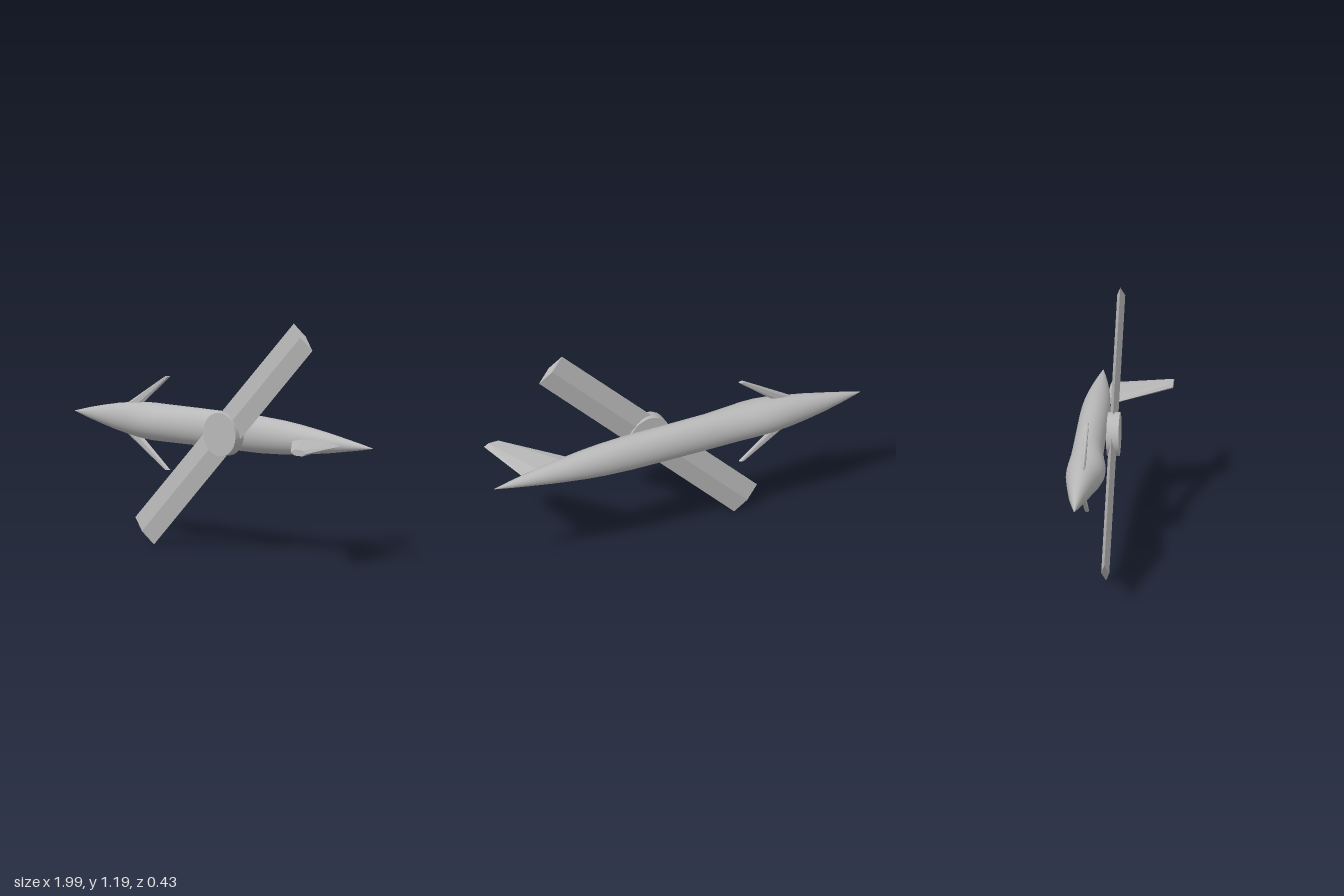
import * as THREE from 'three';
import { ConvexGeometry } from 'three/addons/geometries/ConvexGeometry.js';

const AXIS_Y = 0.598;

// Fuselage skin lofted from elliptical rings: [x, zBack, zFront, halfHeight]
function fuselageGeometry() {
  const stations = [
    [-1, -0.14, -0.138, 0.001], [-0.9, -0.161, -0.118, 0.027], [-0.8, -0.18, -0.099, 0.049],
    [-0.7, -0.194, -0.079, 0.068], [-0.6, -0.207, -0.059, 0.082], [-0.52, -0.216, -0.038, 0.09],
    [-0.45, -0.218, -0.028, 0.0925], [-0.38, -0.216, -0.029, 0.0925], [-0.28, -0.211, -0.044, 0.0925],
    [-0.18, -0.21, -0.056, 0.0925], [0, -0.21, -0.06, 0.0925], [0.25, -0.21, -0.06, 0.0915],
    [0.4, -0.208, -0.064, 0.084], [0.5, -0.203, -0.07, 0.075], [0.6, -0.195, -0.079, 0.063],
    [0.7, -0.184, -0.091, 0.05], [0.8, -0.172, -0.106, 0.034], [0.9, -0.158, -0.123, 0.018],
    [0.992, -0.144, -0.142, 0.001],
  ];
  const sides = 40, pos = [], index = [];
  stations.forEach(([x, z0, z1, h], i) => {
    for (let j = 0; j < sides; j++) {
      const a = (j / sides) * Math.PI * 2;
      pos.push(x, AXIS_Y + Math.cos(a) * h, (z0 + z1) / 2 + (Math.sin(a) * (z1 - z0)) / 2);
      if (i === stations.length - 1) continue;
      const p = i * sides + j, q = i * sides + ((j + 1) % sides);
      index.push(p, q, p + sides, q, q + sides, p + sides);
    }
  });
  const g = new THREE.BufferGeometry();
  g.setAttribute('position', new THREE.Float32BufferAttribute(pos, 3));
  g.setIndex(index);
  g.computeVertexNormals();
  return g;
}

// Tapered fin with a six-sided section; ends are [leadingX, trailingX, span]
function finGeometry(root, tip, halfThick) {
  const pts = [];
  for (const [x0, x1, y] of [root, tip]) {
    pts.push(new THREE.Vector3(x0, y, 0), new THREE.Vector3(x1, y, 0));
    for (const f of [0.25, 0.75]) for (const s of [-1, 1])
      pts.push(new THREE.Vector3(x0 + (x1 - x0) * f, y, s * halfThick));
  }
  return new ConvexGeometry(pts);
}

export function createModel() {
  const model = new THREE.Group();
  const grey = new THREE.MeshStandardMaterial({ color: 0xb8b8b8 });
  grey.name = 'light grey';
  const add = (name, geometry, x, y, z) => {
    const mesh = new THREE.Mesh(geometry, grey);
    mesh.name = name;
    mesh.position.set(x, y, z);
    model.add(mesh);
    return mesh;
  };

  add('fuselage', fuselageGeometry(), 0, 0, 0);

  // Skewed wing with a diamond section
  const pts = [];
  for (const y of [-0.75, 0.75])
    for (const s of [-1, 1])
      pts.push(new THREE.Vector3(s * 0.088, y, 0), new THREE.Vector3(0, y, s * 0.02));
  add('wing', new ConvexGeometry(pts), 0.1, AXIS_Y, -0.028).rotation.z = -Math.PI / 4;

  // Round pivot carrying the wing
  add('wingPivot', new THREE.CylinderGeometry(0.108, 0.108, 0.06, 40), 0.1, AXIS_Y, -0.025).rotation.x = Math.PI / 2;

  // Small foreplanes, mirrored up and down
  const foreplane = finGeometry([-0.675, -0.57, 0.05], [-0.38, -0.347, 0.232], 0.0095);
  add('upperForeplane', foreplane, 0, AXIS_Y, -0.123);
  add('lowerForeplane', foreplane, 0, AXIS_Y, -0.123).rotation.x = Math.PI;

  // Tail fin standing towards the front
  const fin = finGeometry([0.5, 0.82, -0.09], [0.772, 0.877, 0.215], 0.015);
  add('tailFin', fin, 0, AXIS_Y, 0).rotation.x = Math.PI / 2;

  return model;
}
